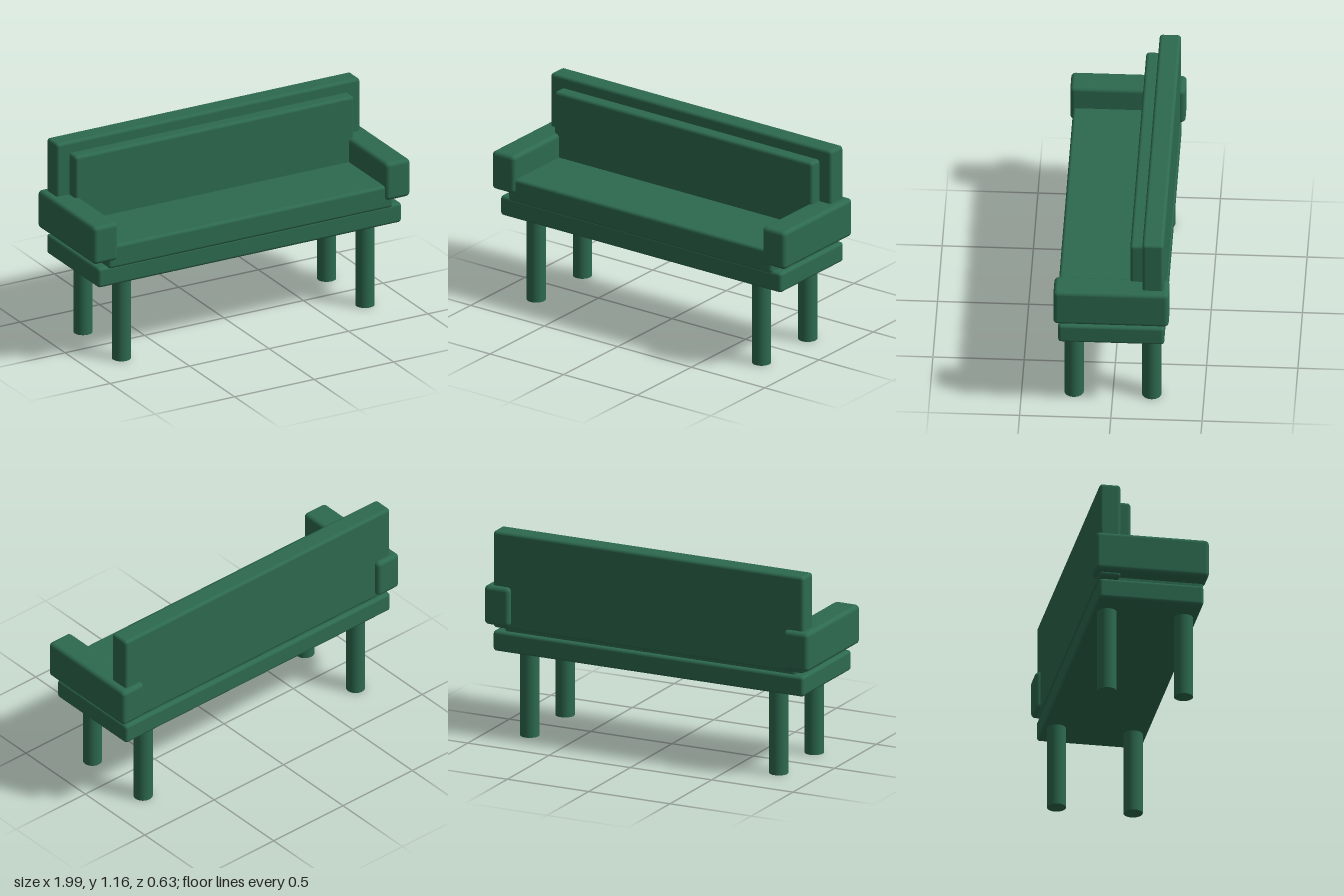
import * as THREE from 'three';
import { RoundedBoxGeometry } from 'three/addons/geometries/RoundedBoxGeometry.js';

export function createModel() {
  const bench = new THREE.Group();
  bench.name = 'bench';

  const green = new THREE.MeshStandardMaterial({ color: 0x2d6a4f });
  green.name = 'forest green';

  // Soft-edged block given by its extents on each axis
  function block(name, [x0, x1], [y0, y1], [z0, z1], radius) {
    const geometry = new RoundedBoxGeometry(x1 - x0, y1 - y0, z1 - z0, 3, radius);
    const mesh = new THREE.Mesh(geometry, green);
    mesh.name = name;
    mesh.position.set((x0 + x1) / 2, (y0 + y1) / 2, (z0 + z1) / 2);
    bench.add(mesh);
  }

  // Seat and back
  block('seatBase', [-0.955, 0.955], [0.477, 0.593], [-0.29, 0.292], 0.018);
  block('seatCushion', [-0.895, 0.895], [0.58, 0.715], [-0.265, 0.3], 0.018);
  block('backrest', [-0.955, 0.955], [0.61, 1.163], [-0.287, -0.17], 0.018);
  block('backCushion', [-0.877, 0.877], [0.66, 1.097], [-0.2, -0.1], 0.018);

  // Armrests and legs, mirrored left and right
  const legGeometry = new THREE.CylinderGeometry(0.053, 0.053, 0.485, 32);
  for (const side of [1, -1]) {
    const label = side > 0 ? 'left' : 'right';
    const armX = side > 0 ? [0.842, 0.997] : [-0.997, -0.842];
    block(label + 'Armrest', armX, [0.63, 0.853], [-0.316, 0.316], 0.024);

    for (const end of [1, -1]) {
      const leg = new THREE.Mesh(legGeometry, green);
      leg.name = label + (end > 0 ? 'FrontLeg' : 'BackLeg');
      leg.position.set(side * 0.766, 0.2425, end * 0.213);
      bench.add(leg);
    }
  }

  return bench;
}
